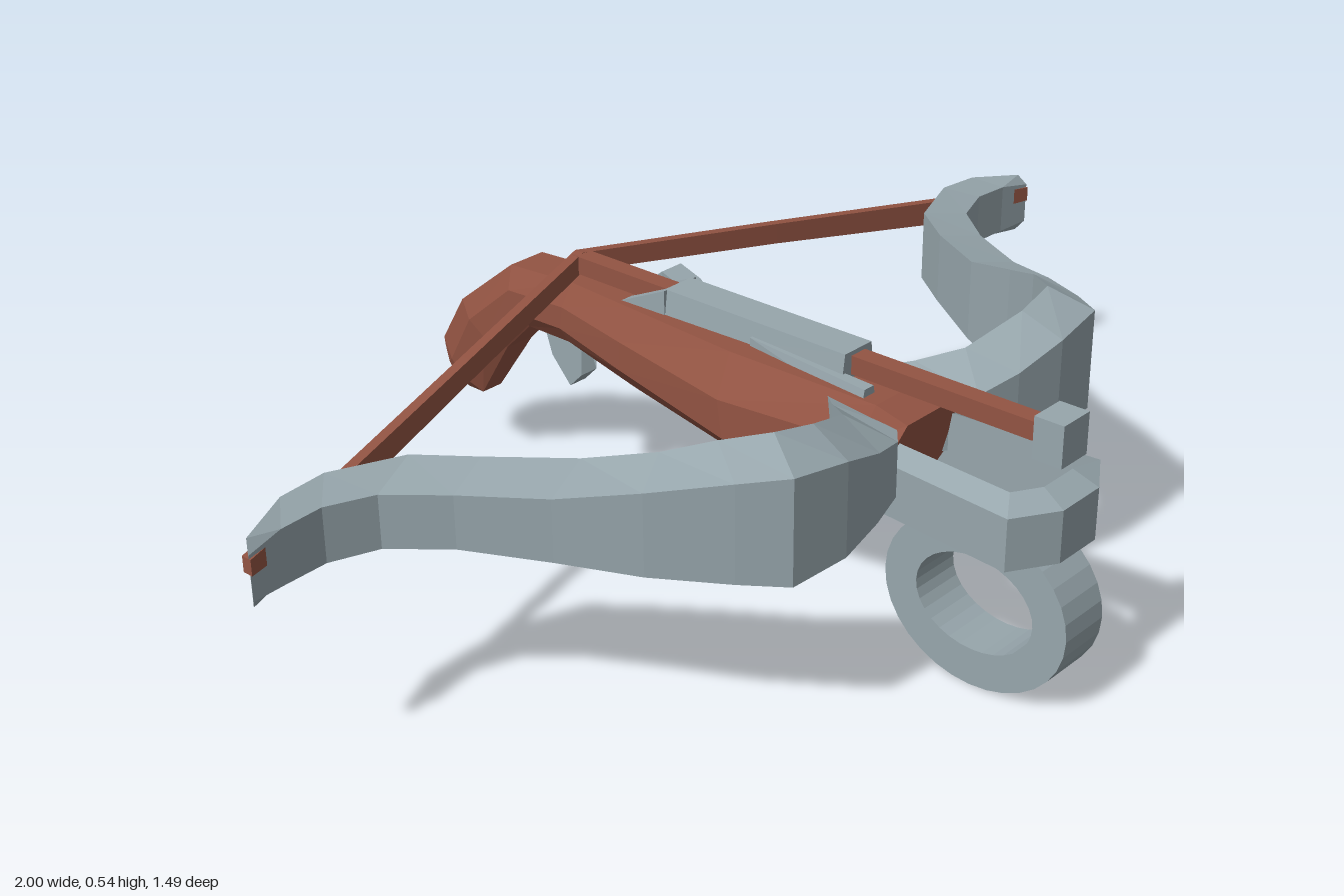
import * as THREE from 'three';

const steel = new THREE.MeshStandardMaterial({ color: 0x97a6ac, flatShading: true });
steel.name = 'greySteel';
const wood = new THREE.MeshStandardMaterial({ color: 0x935443, flatShading: true });
wood.name = 'redBrownWood';

// Capped, flat-shaded skin over matching cross-sections; winding is fixed by signed volume
function loft(sections) {
  const tris = [];
  const n = sections[0].length;
  for (let s = 0; s + 1 < sections.length; s++) {
    const a = sections[s], b = sections[s + 1];
    for (let i = 0; i < n; i++) {
      const j = (i + 1) % n;
      tris.push([a[i], a[j], b[j]], [a[i], b[j], b[i]]);
    }
  }
  const first = sections[0], last = sections[sections.length - 1];
  for (let i = 1; i < n - 1; i++) {
    tris.push([first[0], first[i + 1], first[i]], [last[0], last[i], last[i + 1]]);
  }
  let volume = 0;
  for (const [a, b, c] of tris) {
    volume += new THREE.Vector3(...a).dot(new THREE.Vector3(...b).cross(new THREE.Vector3(...c)));
  }
  const ordered = volume < 0 ? tris.map(([a, b, c]) => [a, c, b]) : tris;
  const geometry = new THREE.BufferGeometry();
  geometry.setAttribute('position', new THREE.Float32BufferAttribute(ordered.flat(2), 3));
  geometry.computeVertexNormals();
  return geometry;
}

const mirror = (sections, side) => sections.map(s => s.map(([x, y, z]) => [x * side, y, z]));

// Upright rectangle around a centre, for bars running along z
const rect = (x, y, z, hw, hh, topHw = hw) => [
  [x - hw, y - hh, z], [x + hw, y - hh, z], [x + topHw, y + hh, z], [x - topHw, y + hh, z],
];

export function createModel() {
  const model = new THREE.Group();
  model.name = 'crossbow';
  const add = (name, geometry, material) => {
    const mesh = new THREE.Mesh(geometry, material);
    mesh.name = name;
    model.add(mesh);
    return mesh;
  };

  // Stock and grip: top z, top y, bottom z, bottom y, half width
  const stock = [
    [0.42, 0.44, 0.40, 0.32, 0.09],
    [0.36, 0.46, 0.33, 0.29, 0.10],
    [0.06, 0.47, 0.09, 0.268, 0.13],
    [-0.20, 0.465, -0.20, 0.305, 0.088],
    [-0.36, 0.462, -0.38, 0.335, 0.062],
    [-0.52, 0.452, -0.484, 0.335, 0.062],
    [-0.663, 0.34, -0.55, 0.27, 0.06],
    [-0.735, 0.235, -0.635, 0.145, 0.043],
    [-0.742, 0.21, -0.683, 0.14, 0.03],
  ].map(([tz, ty, bz, by, w]) => {
    const p = (x, t) => [x * w, by + (ty - by) * t, bz + (tz - bz) * t];
    return [p(-0.55, 0), p(0.55, 0), p(1, 0.3), p(1, 0.65), p(0.65, 1), p(-0.65, 1), p(-1, 0.65), p(-1, 0.3)];
  });
  add('stock', loft(stock), wood);

  // Bolt with square head
  const shaft = add('boltShaft', new THREE.BoxGeometry(0.036, 0.034, 1.03), wood);
  shaft.position.set(0, 0.487, 0.135);
  const head = add('boltHead', new THREE.BoxGeometry(0.07, 0.075, 0.056), steel);
  head.position.set(0, 0.487, 0.673);

  // Rail cover over the bolt
  add('rail', loft([rect(0, 0.475, 0.27, 0.046, 0.037, 0.035), rect(0, 0.475, -0.135, 0.044, 0.037, 0.034)]), steel);

  // Bow limb: rear x, rear z, front x, front z, top y, bottom y
  const limb = [
    [0.07, 0.26, 0.06, 0.40, 0.45, 0.32],
    [0.11, 0.305, 0.11, 0.44, 0.46, 0.315],
    [0.165, 0.37, 0.19, 0.465, 0.485, 0.305],
    [0.28, 0.403, 0.29, 0.482, 0.524, 0.285],
    [0.365, 0.396, 0.405, 0.47, 0.54, 0.275],
    [0.42, 0.33, 0.46, 0.40, 0.525, 0.28],
    [0.465, 0.25, 0.54, 0.285, 0.495, 0.29],
    [0.515, 0.13, 0.61, 0.16, 0.462, 0.305],
    [0.60, -0.005, 0.69, 0.027, 0.452, 0.315],
    [0.67, -0.096, 0.765, -0.062, 0.452, 0.315],
    [0.80, -0.144, 0.85, -0.092, 0.455, 0.315],
    [0.89, -0.139, 0.93, -0.09, 0.452, 0.315],
    [0.99, -0.095, 1.0, -0.08, 0.44, 0.32],
  ].map(([rx, rz, fx, fz, top, bottom]) => {
    const inset = 0.02 + 0.2 * Math.max(0, top - 0.45);
    return [[rx, bottom, rz], [fx, bottom + inset, fz], [fx, top - inset, fz], [rx, top, rz]];
  });

  // String half: x, y, z, half height
  const string = [
    [0, 0.487, -0.38, 0.018], [0.40, 0.452, -0.255, 0.02],
    [0.79, 0.41, -0.14, 0.024], [1.0, 0.40, -0.086, 0.014],
  ].map(([x, y, z, h]) => [[x, y - h, z - 0.01], [x, y - h, z + 0.01], [x, y + h, z + 0.01], [x, y + h, z - 0.01]]);

  for (const [side, label] of [[1, 'left'], [-1, 'right']]) {
    add(label + 'Limb', loft(mirror(limb, side)), steel);
    add(label + 'String', loft(mirror(string, side)), wood);
    // Prongs at the back of the rail and flared wedges at its front
    const prong = [rect(0.029, 0.475, -0.13, 0.013, 0.037), rect(0.029, 0.452, -0.235, 0.013, 0.012)];
    add(label + 'RailProng', loft(mirror(prong, side)), steel);
    const wedge = [rect(0.046, 0.455, 0.33, 0.02, 0.02, 0.012), rect(0.038, 0.46, 0.07, 0.006, 0.025)];
    add(label + 'RailWedge', loft(mirror(wedge, side)), steel);
  }

  // Stirrup: outer x, outer z, inner x, inner z, swept round the front
  const half = [[0.105, 0.39, 0.07, 0.39], [0.13, 0.67, 0.09, 0.645], [0.05, 0.72, 0.04, 0.675]];
  const path = [...half, ...half.map(([ox, oz, ix, iz]) => [-ox, oz, -ix, iz]).reverse()];
  add('stirrup', loft(path.map(([ox, oz, ix, iz]) => [
    [ix, 0.28, iz], [ox, 0.295, oz], [ox, 0.39, oz], [ix, 0.412, iz],
  ])), steel);

  // Oval foot ring, with its axis along x
  const ringShape = new THREE.Shape().absellipse(0, 0, 0.182, 0.157, 0, Math.PI * 2);
  ringShape.holes.push(new THREE.Path().absellipse(0, 0, 0.117, 0.088, 0, Math.PI * 2, true));
  const ring = add('footRing', new THREE.ExtrudeGeometry(ringShape, { depth: 0.104, bevelEnabled: false, curveSegments: 16 }), steel);
  ring.rotation.y = Math.PI / 2;
  ring.position.set(-0.052, 0.158, 0.562);

  // Side lever: x, z, bottom y, top y
  const lever = [
    [0.07, -0.13, 0.35, 0.44], [0.095, -0.19, 0.352, 0.465],
    [0.15, -0.29, 0.35, 0.45], [0.16, -0.335, 0.335, 0.415], [0.16, -0.395, 0.31, 0.355],
  ].map(([x, z, b, t]) => rect(x, (b + t) / 2, z, 0.026, (t - b) / 2));
  add('sideLever', loft(lever), steel);

  // Trigger: z, y outline
  const trigger = [[-0.36, 0.36], [-0.385, 0.315], [-0.365, 0.265], [-0.395, 0.235], [-0.44, 0.285], [-0.465, 0.36]];
  add('trigger', loft([-0.02, 0.02].map(x => trigger.map(([z, y]) => [x, y, z]))), steel);

  return model;
}
